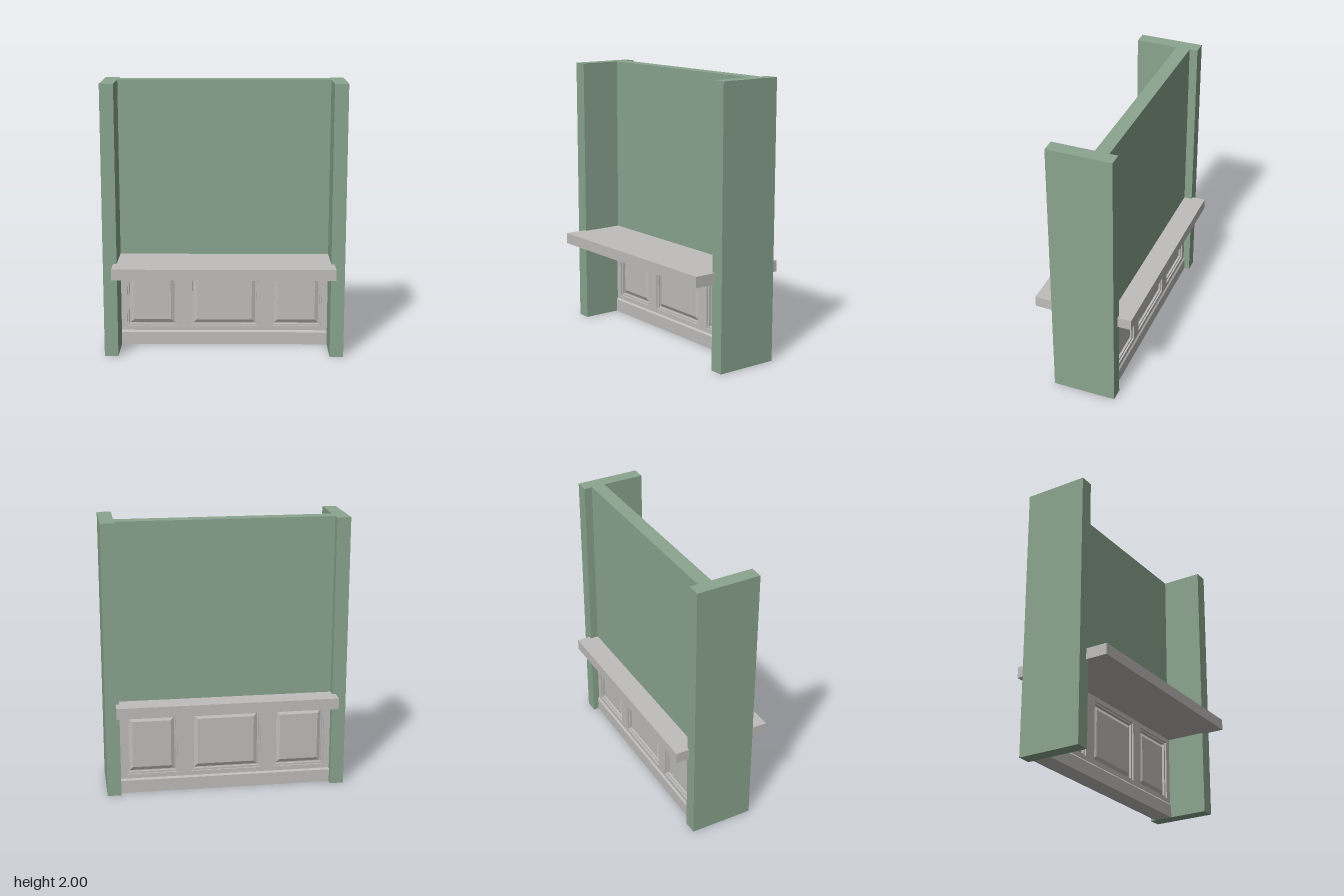
import * as THREE from 'three';

export function createModel() {
  const model = new THREE.Group();
  const green = new THREE.MeshStandardMaterial({ color: 0x8ba58f });
  green.name = 'sage green paint';
  const grey = new THREE.MeshStandardMaterial({ color: 0xbfbebc });
  grey.name = 'pale grey paint';

  const add = (parent, name, geometry, material) => {
    const mesh = new THREE.Mesh(geometry, material);
    mesh.name = name;
    parent.add(mesh);
    return mesh;
  };
  // box given by its limits on each axis
  const box = (parent, name, [x0, x1], [y0, y1], [z0, z1], material) => {
    const mesh = add(parent, name, new THREE.BoxGeometry(x1 - x0, y1 - y0, z1 - z0), material);
    mesh.position.set((x0 + x1) / 2, (y0 + y1) / 2, (z0 + z1) / 2);
    return mesh;
  };
  const rectangle = (Type, x0, x1, y0, y1) => new Type([
    new THREE.Vector2(x0, y0), new THREE.Vector2(x1, y0),
    new THREE.Vector2(x1, y1), new THREE.Vector2(x0, y1),
  ]);

  // tall side pillars and the wall between them
  box(model, 'leftPillar', [0.775, 0.875], [0, 2], [-0.265, 0.2], green);
  box(model, 'rightPillar', [-0.875, -0.775], [0, 2], [-0.265, 0.2], green);
  box(model, 'upperWall', [-0.775, 0.775], [0.66, 2], [-0.205, -0.105], green);

  // counter running through the wall, lapping over the pillars
  box(model, 'counterFront', [-0.8, 0.8], [0.62, 0.7], [-0.12, 0.36], grey);
  box(model, 'counterBack', [-0.8, 0.8], [0.62, 0.7], [-0.365, -0.12], grey);

  // panelled lower wall
  box(model, 'lowerWallCore', [-0.775, 0.775], [0, 0.66], [-0.185, -0.125], grey);
  const bays = [[-0.73, -0.355], [-0.255, 0.255], [0.355, 0.73]];
  const y0 = 0.14, y1 = 0.585;

  // one face of the panelling, z measured from the middle of the wall
  const makePanelling = (name) => {
    const side = new THREE.Group();
    side.name = name;

    // stiles and rails around the three openings
    const frame = rectangle(THREE.Shape, -0.775, 0.775, 0.08, 0.63);
    bays.forEach(([a, b]) => frame.holes.push(rectangle(THREE.Path, a, b, y0, y1)));
    const rails = add(side, 'stilesAndRails',
      new THREE.ExtrudeGeometry(frame, { depth: 0.03, bevelEnabled: false }), grey);
    rails.position.z = 0.03;

    bays.forEach(([a, b]) => {
      // stepped moulding inside the opening
      const ring = rectangle(THREE.Shape, a, b, y0, y1);
      ring.holes.push(rectangle(THREE.Path, a + 0.014, b - 0.014, y0 + 0.014, y1 - 0.014));
      const moulding = add(side, 'panelMoulding',
        new THREE.ExtrudeGeometry(ring, { depth: 0.018, bevelEnabled: false }), grey);
      moulding.position.z = 0.03;

      // raised field with a sloping margin
      const inset = 0.048;
      const field = rectangle(THREE.Shape, a + inset, b - inset, y0 + inset, y1 - inset);
      const panel = add(side, 'raisedPanel', new THREE.ExtrudeGeometry(field, {
        depth: 0.002, bevelEnabled: true, bevelThickness: 0.014, bevelSize: 0.026, bevelSegments: 1,
      }), grey);
      panel.position.z = 0.03;
    });

    // skirting board with a chamfered top, profile swept along x
    const profile = new THREE.Shape([[0, 0], [0.07, 0], [0.07, 0.095], [0.06, 0.108], [0, 0.108]]
      .map(([z, y]) => new THREE.Vector2(-z, y)));
    const skirting = add(side, 'skirtingBoard',
      new THREE.ExtrudeGeometry(profile, { depth: 1.55, bevelEnabled: false }), grey);
    skirting.rotation.y = Math.PI / 2;
    skirting.position.x = -0.775;

    side.position.z = -0.155;
    model.add(side);
    return side;
  };
  makePanelling('frontPanelling');
  makePanelling('backPanelling').rotation.y = Math.PI;

  return model;
}
